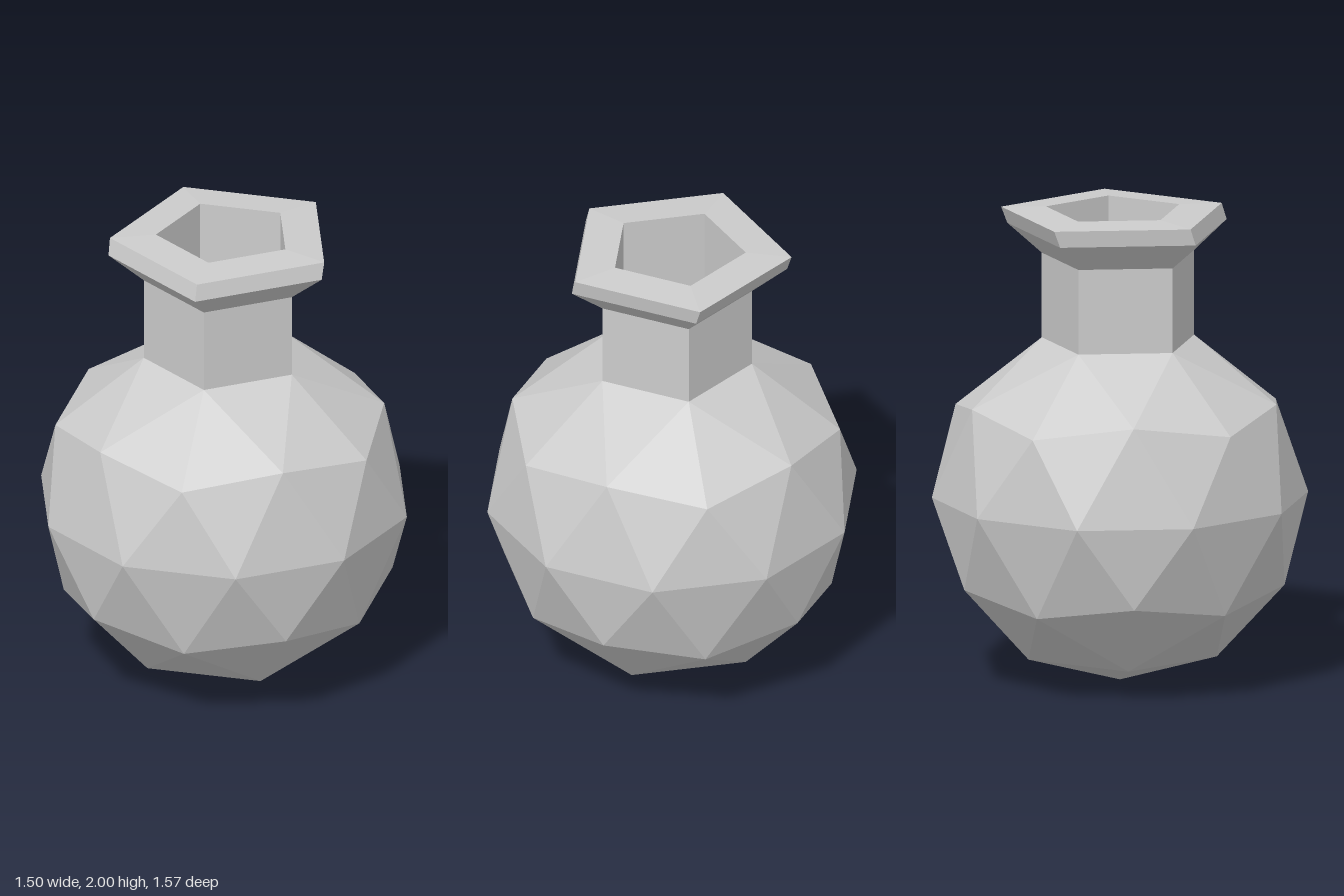
import * as THREE from 'three';
import { ConvexGeometry } from 'three/addons/geometries/ConvexGeometry.js';

const material = new THREE.MeshStandardMaterial({ color: 0xcccccc, flatShading: true });

// Evenly spaced points on a horizontal circle; the first sits at the given angle from +x.
function ring(count, radius, y, startDeg = 0) {
  return Array.from({ length: count }, (_, i) => {
    const a = THREE.MathUtils.degToRad(startDeg) + (i / count) * Math.PI * 2;
    return new THREE.Vector3(radius * Math.cos(a), y, radius * Math.sin(a));
  });
}

// Faceted round body, five-fold about y, flattened where the neck joins.
function createBody() {
  const points = [
    new THREE.Vector3(0, 0, 0),
    ...ring(5, 0.414, 0.117, 36),
    ...ring(5, 0.669, 0.373, 0),
    ...ring(5, 0.704, 0.435, 36),
    ...ring(10, 0.787, 0.787, 18),
    ...ring(5, 0.704, 1.139, 0),
    ...ring(5, 0.669, 1.2, 36),
    ...ring(5, 0.335, 1.44, 0),
  ];
  const body = new THREE.Mesh(new ConvexGeometry(points), material);
  body.name = 'body';
  return body;
}

// Five-sided neck, flared rim and hollow mouth as one profile.
function createNeck() {
  const profile = [
    [0.335, 1.44], [0.335, 1.8], [0.4825, 1.92], // neck and flare
    [0.485, 1.99], [0.293, 2.0],                 // lip
    [0.293, 1.46], [0, 1.46],                    // mouth wall and floor
  ].map(([r, y]) => new THREE.Vector2(r, y));
  const lathe = new THREE.LatheGeometry(profile, 5, Math.PI / 2);

  // The lip and mouth sit slightly off the neck's axis.
  const pos = lathe.attributes.position;
  for (let i = 0; i < pos.count; i++) {
    if (i % profile.length >= 3) {
      pos.setX(i, pos.getX(i) + 0.021);
      pos.setZ(i, pos.getZ(i) - 0.012);
    }
  }
  const geometry = lathe.toNonIndexed();
  geometry.computeVertexNormals();
  const neck = new THREE.Mesh(geometry, material);
  neck.name = 'neckAndRim';
  return neck;
}

export function createModel() {
  const group = new THREE.Group();
  group.name = 'flask';
  group.add(createBody(), createNeck());
  return group;
}
